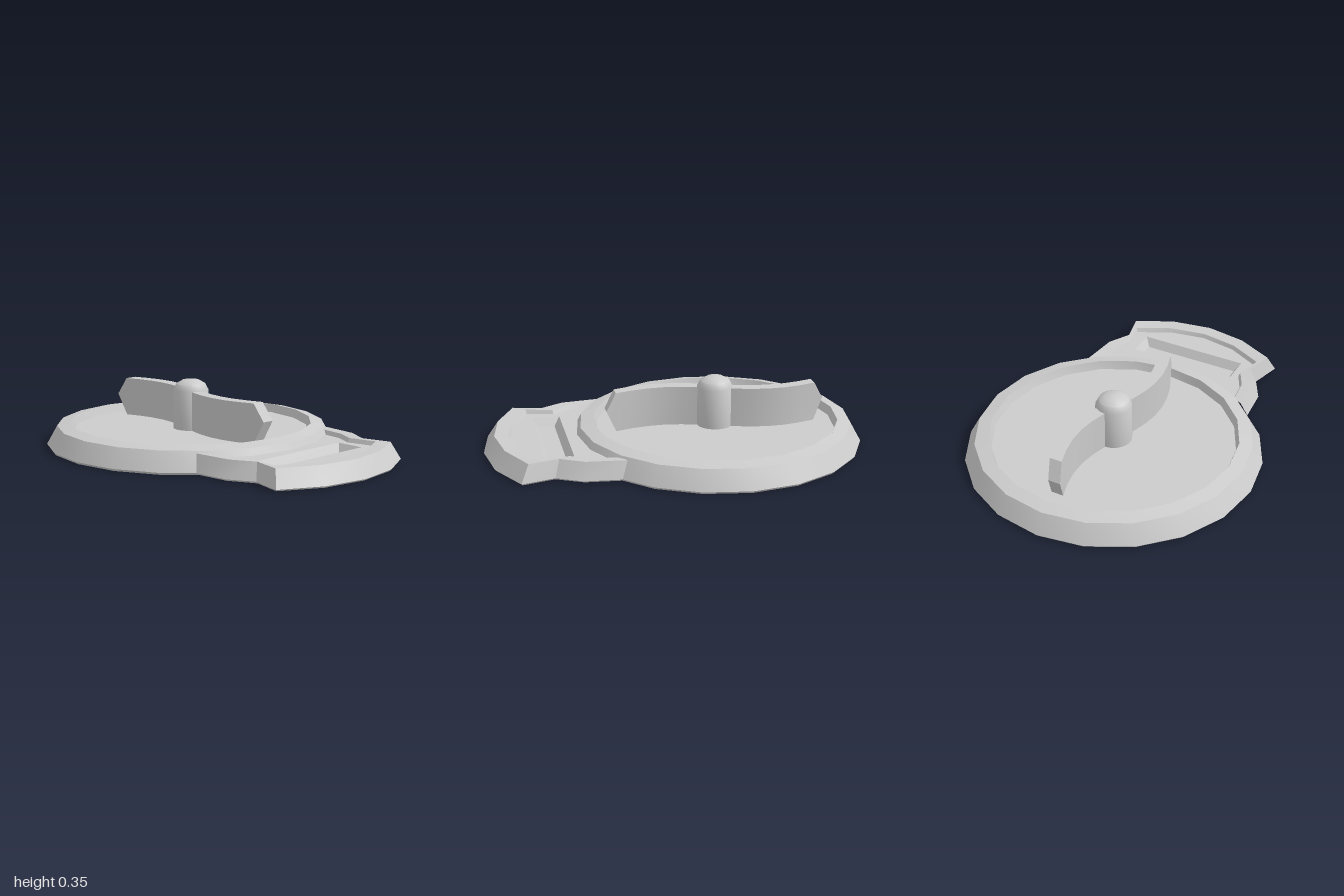
import * as THREE from 'three';
import { toCreasedNormals } from 'three/addons/utils/BufferGeometryUtils.js';

const material = new THREE.MeshStandardMaterial({ color: 0xcccccc, side: THREE.DoubleSide });
const DISH_X = -0.225;
const FLOOR_Y = 0.08;
const TAB_FLOOR_Y = 0.075;

function part(name, geometry, crease = 0.6) {
  const mesh = new THREE.Mesh(toCreasedNormals(geometry, crease), material);
  mesh.name = name;
  return mesh;
}

function lathe(name, profile, sides) {
  const points = profile.map(([r, y]) => new THREE.Vector2(r, y));
  const mesh = part(name, new THREE.LatheGeometry(points, sides));
  mesh.position.x = DISH_X;
  return mesh;
}

// Skin between successive rows of [x, z] points, each row at its own height
function loft(rows) {
  const positions = [];
  for (let r = 0; r < rows.length - 1; r++) {
    const a = rows[r], b = rows[r + 1];
    const at = (row, i) => [row.points[i][0], row.y, row.points[i][1]];
    for (let i = 0; i < a.points.length - 1; i++) {
      positions.push(...at(a, i), ...at(b, i), ...at(a, i + 1));
      positions.push(...at(a, i + 1), ...at(b, i), ...at(b, i + 1));
    }
  }
  const geometry = new THREE.BufferGeometry();
  geometry.setAttribute('position', new THREE.Float32BufferAttribute(positions, 3));
  return geometry;
}

// Mirror a half outline (back edge to the middle, z = 0) onto the front half
function mirrored(half) {
  const back = half.map(([x, z]) => [x, -z]);
  return [...back, ...half.slice(0, -1).reverse()];
}

function flatFace(outline, y, holes = []) {
  const toPath = (pts) => pts.map(([x, z]) => new THREE.Vector2(x, -z));
  const shape = new THREE.Shape(toPath(outline));
  for (const hole of holes) shape.holes.push(new THREE.Path(toPath(hole)));
  return new THREE.ShapeGeometry(shape).rotateX(-Math.PI / 2).translate(0, y, 0);
}

// Rectangle running from -z to +z on its +x side
function rectangle(x0, x1, z) {
  return [[x0, -z], [x1, -z], [x1, z], [x0, z]];
}

function buildTab() {
  const tab = new THREE.Group();
  tab.name = 'sideTab';

  // Rim: bottom lip, sloping outside, flat top, short inner wall
  const lip = mirrored([[0.355, 0.492], [0.545, 0.474], [0.68, 0.405], [0.843, 0.447], [0.953, 0.24], [0.99, 0]]);
  const base = mirrored([[0.36, 0.5], [0.55, 0.483], [0.68, 0.413], [0.85, 0.457], [0.962, 0.24], [1, 0]]);
  const outerTop = mirrored([[0.33, 0.47], [0.535, 0.448], [0.655, 0.383], [0.81, 0.42], [0.907, 0.22], [0.943, 0]]);
  const innerTop = mirrored([[0.36, 0.418], [0.50, 0.40], [0.60, 0.348], [0.745, 0.382], [0.838, 0.2], [0.872, 0]]);
  const innerBase = mirrored([[0.36, 0.407], [0.495, 0.39], [0.597, 0.338], [0.738, 0.37], [0.828, 0.197], [0.862, 0]]);
  tab.add(part('tabRim', loft([
    { points: lip, y: 0.003 }, { points: base, y: 0.012 }, { points: outerTop, y: 0.1 },
    { points: innerTop, y: 0.097 }, { points: innerBase, y: TAB_FLOOR_Y },
  ])));

  // Floor, fitted against the dish and pierced for the slot
  const slotTop = rectangle(0.57, 0.72, 0.3);
  const slotBottom = rectangle(0.6, 0.69, 0.27);
  const floor = [...innerBase, [0.477, 0.228], [0.513, 0], [0.477, -0.228]];
  tab.add(part('tabFloor', flatFace(floor, TAB_FLOOR_Y, [slotTop])));

  // Tapered slot sunk below the floor
  const closed = (points) => [...points, points[0]];
  tab.add(part('slotWalls', loft([
    { points: closed(slotTop), y: TAB_FLOOR_Y }, { points: closed(slotBottom), y: 0.03 },
  ])));
  tab.add(part('slotFloor', flatFace(slotBottom, 0.03)));
  return tab;
}

// S-curved grip: a box whose ends are drawn out to a ridge, then bent
function buildGrip() {
  const length = 1.065, top = 0.29, height = top - FLOOR_Y;
  const geometry = new THREE.BoxGeometry(length, height, 0.066, 12, 2, 1);
  const p = geometry.attributes.position;
  for (let i = 0; i < p.count; i++) {
    let x = p.getX(i), y = p.getY(i);
    if (Math.abs(y) < 0.01) {
      if (Math.abs(x) > length / 2 - 0.001) x += Math.sign(x) * 0.053;
      y += 0.012;
    }
    p.setXYZ(i, x, y, p.getZ(i) + 0.07 * Math.sin(Math.PI * x / 0.6));
  }
  const mesh = part('curvedGrip', geometry);
  mesh.position.set(DISH_X, FLOOR_Y + height / 2, 0);
  return mesh;
}

export function createModel() {
  const model = new THREE.Group();
  model.name = 'lidWithGrip';

  // Shallow round dish, open underneath
  model.add(lathe('roundDish', [
    [0.765, 0], [0.775, 0.012], [0.72, 0.11], [0.65, 0.125], [0.635, FLOOR_Y], [0, FLOOR_Y],
  ], 20));

  // Domed centre post
  model.add(lathe('centrePost', [
    [0, FLOOR_Y - 0.002], [0.095, FLOOR_Y - 0.002], [0.095, 0.29], [0.078, 0.323], [0.045, 0.342], [0, 0.347],
  ], 20));

  model.add(buildGrip(), buildTab());
  return model;
}
